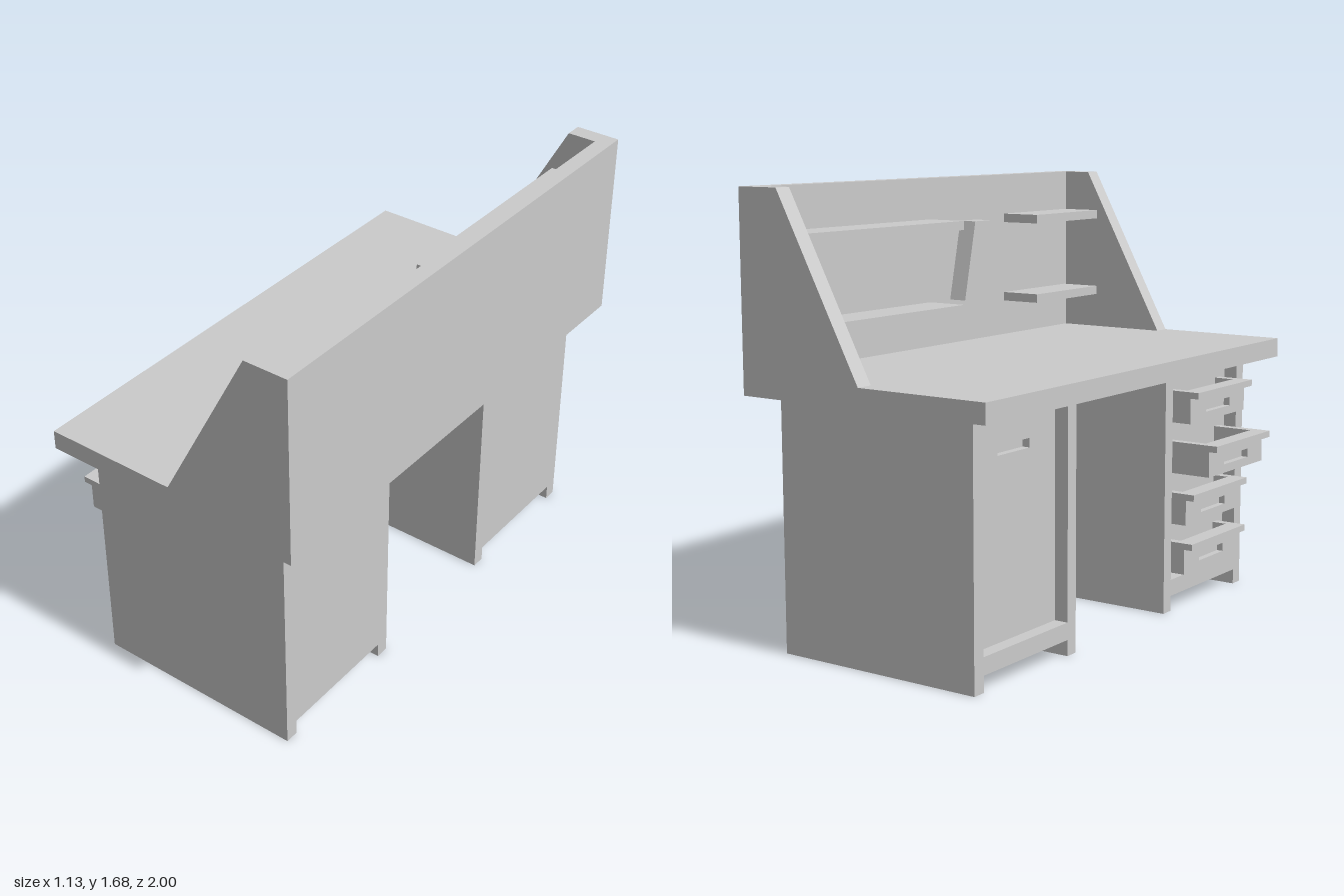
import * as THREE from 'three';

const material = new THREE.MeshStandardMaterial({ color: 0xcccccc, flatShading: true });

function add(parent, name, geometry) {
  const mesh = new THREE.Mesh(geometry, material);
  mesh.name = name;
  parent.add(mesh);
  return mesh;
}

// Box given by its limits on each axis
function box(parent, name, [x0, x1], [y0, y1], [z0, z1]) {
  const mesh = add(parent, name, new THREE.BoxGeometry(x1 - x0, y1 - y0, z1 - z0));
  mesh.position.set((x0 + x1) / 2, (y0 + y1) / 2, (z0 + z1) / 2);
  return mesh;
}

const outline = (points) => new THREE.Shape(points.map(([a, b]) => new THREE.Vector2(a, b)));
const rect = (a0, a1, b0, b1) => [[a0, b0], [a1, b0], [a1, b1], [a0, b1]];

// Plate drawn in the z-y plane, filling x0 to x1
function plate(parent, name, [x0, x1], points, hole) {
  const shape = outline(points);
  if (hole) shape.holes.push(outline(hole));
  const geometry = new THREE.ExtrudeGeometry(shape, { depth: x1 - x0, bevelEnabled: false });
  geometry.rotateY(-Math.PI / 2);
  const mesh = add(parent, name, geometry);
  mesh.position.x = x1;
  return mesh;
}

// Front board with a finger slot and a board closing the slot from behind
function slottedFront(parent, name, [x0, x1], [y0, y1], [z0, z1], slotY) {
  const zc = (z0 + z1) / 2;
  const xm = x0 + (x1 - x0) * 0.75;
  plate(parent, name, [x0, xm], rect(z0, z1, y0, y1),
    rect(zc - 0.095, zc + 0.095, slotY - 0.017, slotY + 0.017));
  box(parent, name + 'Backing', [xm, x1], [y0, y1], [z0, z1]);
}

// Open carcass with side boards reaching the floor
function pedestal(name, z0, z1) {
  const group = new THREE.Group();
  group.name = name;
  const t = 0.053;
  box(group, 'sideBoard', [-0.39, 0.46], [0, 0.945], [z0, z0 + t]);
  box(group, 'sideBoard', [-0.39, 0.46], [0, 0.945], [z1 - t, z1]);
  const inner = [z0 + t, z1 - t];
  box(group, 'bottomBoard', [-0.39, 0.46], [0.06, 0.125], inner);
  box(group, 'backBoard', [0.41, 0.46], [0.125, 0.945], inner);
  return { group, inner };
}

// Open tray with a slotted front and a grip lip along its top edge
function drawer(parent, x, y0) {
  const group = new THREE.Group();
  group.name = 'drawer';
  parent.add(group);
  const z0 = 0.385, z1 = 0.812, y1 = y0 + 0.125, t = 0.035, back = -0.3;
  slottedFront(group, 'drawerFront', [x, x + t], [y0, y1], [z0, z1], y0 + 0.05);
  box(group, 'drawerLip', [x - 0.035, x], [y1 - 0.025, y1], [z0, z1]);
  box(group, 'drawerSide', [x + t, back], [y0, y1], [z0, z0 + t]);
  box(group, 'drawerSide', [x + t, back], [y0, y1], [z1 - t, z1]);
  box(group, 'drawerFloor', [x + t, back], [y0, y0 + 0.03], [z0 + t, z1 - t]);
}

export function createModel() {
  const desk = new THREE.Group();
  desk.name = 'desk';

  // Worktop and upright back
  box(desk, 'worktop', [-0.5, 0.565], [0.945, 1.02], [-1, 1]);
  box(desk, 'hutchBack', [0.503, 0.565], [1.02, 1.68], [-0.933, 0.933]);

  // Sloping ends of the hutch
  const endShape = outline([[0.035, 1.02], [0.565, 1.02], [0.565, 1.68], [0.39, 1.68]]);
  for (const z of [-1, 0.933]) {
    const geometry = new THREE.ExtrudeGeometry(endShape, { depth: 0.067, bevelEnabled: false });
    add(desk, 'hutchEnd', geometry).position.z = z;
  }

  // Two levels of shelves on each side of the tapered block
  for (const y of [1.195, 1.52]) {
    box(desk, 'longShelf', [0.335, 0.503], [y - 0.035, y], [-0.922, -0.017]);
    box(desk, 'shortShelf', [0.335, 0.503], [y - 0.035, y], [0.475, 0.92]);
  }
  plate(desk, 'taperedBlock', [0.428, 0.503],
    [[0.11, 1.195], [0.355, 1.195], [0.283, 1.505], [0.18, 1.505]]);

  // Cupboard with a recessed door
  const cupboard = pedestal('cupboard', -0.923, -0.315);
  slottedFront(cupboard.group, 'door', [-0.335, -0.295], [0.125, 0.945], cupboard.inner, 0.8);

  // Drawer unit, drawers pulled out by different amounts
  const unit = pedestal('drawerUnit', 0.3, 0.91);
  box(unit.group, 'innerPanel', [-0.335, -0.295], [0.125, 0.945], unit.inner);
  const drawers = [[-0.45, 0.745], [-0.535, 0.545], [-0.435, 0.342], [-0.43, 0.145]];
  for (const [x, y] of drawers) drawer(unit.group, x, y);

  desk.add(cupboard.group, unit.group);
  return desk;
}
